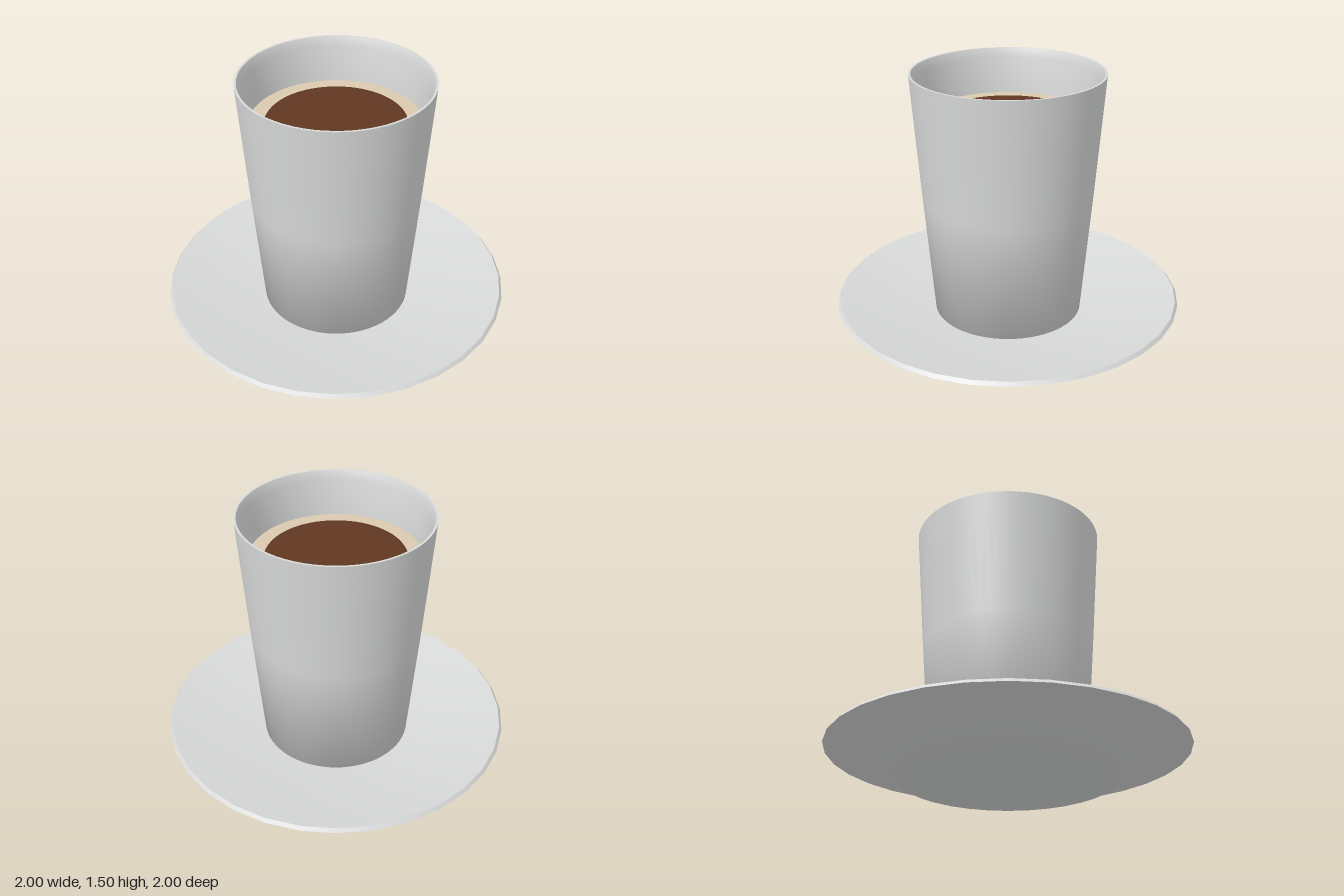
import * as THREE from 'three';

export function createModel() {
  const material = (name, color) => {
    const m = new THREE.MeshStandardMaterial({ color });
    m.name = name;
    return m;
  };
  const porcelain = material('porcelain', 0xd8dad9);
  const cream = material('cream', 0xdac9b0);
  const coffee = material('coffee', 0x613822);

  const model = new THREE.Group();
  model.name = 'cupAndSaucer';

  // Each part is a smooth turned profile of [radius, height] points
  const turn = (name, mat, segments, profile) => {
    const points = profile.map(([r, y]) => new THREE.Vector2(r, y));
    const mesh = new THREE.Mesh(new THREE.LatheGeometry(points, segments), mat);
    mesh.name = name;
    model.add(mesh);
  };

  // Saucer: underside with foot, thin rim, shallow dished top
  turn('saucerUnderside', porcelain, 32, [[0, 0], [0.6, 0], [0.62, 0.04], [1, 0.155]]);
  turn('saucerRim', porcelain, 32, [[1, 0.155], [0.985, 0.175]]);
  turn('saucerTop', porcelain, 32, [[0.985, 0.175], [0.45, 0.08], [0, 0.075]]);

  // Cup: tapered outside, thin lip, inside wall and floor
  turn('cupOutside', porcelain, 64, [[0, 0.08], [0.43, 0.08], [0.487, 0.78], [0.54, 1.5]]);
  turn('cupLip', porcelain, 64, [[0.54, 1.5], [0.527, 1.5]]);
  turn('cupInside', porcelain, 64, [[0.527, 1.5], [0.508, 1.45], [0.48, 1.24], [0.4, 0.14]]);
  turn('cupFloor', porcelain, 64, [[0.4, 0.14], [0, 0.14]]);

  // Drink: flat cream ring around a slightly domed coffee surface
  turn('creamSurface', cream, 64, [[0.481, 1.24], [0, 1.24]]);
  turn('coffeeSurface', coffee, 64, [[0.395, 1.238], [0.39, 1.247], [0.37, 1.25], [0.2, 1.257], [0, 1.26]]);

  return model;
}
